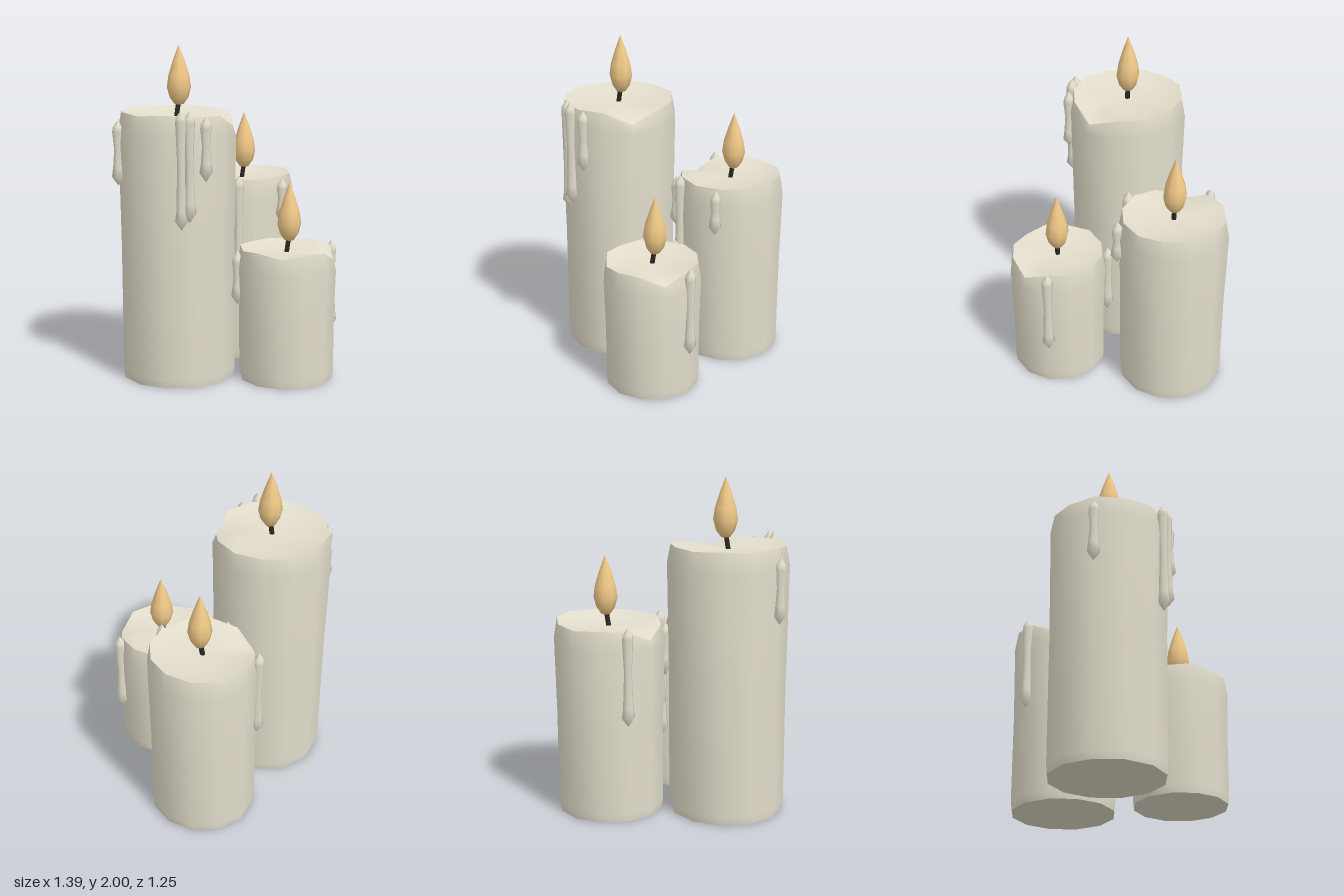
import * as THREE from 'three';
import { mergeVertices } from 'three/addons/utils/BufferGeometryUtils.js';

const SIDES = 12;
const wax = new THREE.MeshStandardMaterial({ color: 0xe3decc });
const wickMat = new THREE.MeshStandardMaterial({ color: 0x2a2826 });
const flameMat = new THREE.MeshStandardMaterial({ color: 0xf2ca88 });

const profile = (pts) => pts.map(([r, y]) => new THREE.Vector2(r, y));

function addMesh(parent, name, geometry, material) {
  const mesh = new THREE.Mesh(geometry, material);
  mesh.name = name;
  parent.add(mesh);
  return mesh;
}

// Twelve-sided turned surface; each point is [radius, y, share of the rim offset it follows]
function waxSurface(pts, rim) {
  const geo = new THREE.LatheGeometry(profile(pts), SIDES);
  const pos = geo.attributes.position;
  for (let v = 0; v < pos.count; v++) {
    const column = Math.floor(v / pts.length);
    const k = (3 - column + 2 * SIDES) % SIDES; // k * 30 degrees from +x towards +z
    pos.setY(v, pos.getY(v) + rim[k] * (pts[v % pts.length][2] || 0));
  }
  geo.deleteAttribute('normal');
  geo.deleteAttribute('uv');
  const merged = mergeVertices(geo, 1e-4);
  merged.computeVertexNormals();
  return merged;
}

// Thin run of wax: pointed top, slim neck, swollen end
function drip(x, z, top, bottom) {
  const pts = profile([
    [0, bottom], [0.04, bottom + 0.055], [0.032, bottom + 0.11],
    [0.024, bottom + (top - bottom) * 0.55],
    [0.034, top - 0.07], [0.03, top - 0.04], [0, top],
  ]);
  const geo = new THREE.LatheGeometry(pts, 6);
  geo.translate(x, 0, z);
  return geo;
}

function candle({ name, x, z, r, h, rim, drips }) {
  const group = new THREE.Group();
  group.name = name;
  const body = new THREE.Group();
  body.name = name + 'Body';
  body.position.set(x, 0, z);
  group.add(body);

  // Wall, hollowed top and base
  addMesh(body, 'waxWall', waxSurface([
    [r * 0.945, 0], [r * 0.965, 0.05], [r * 0.97, h * 0.5],
    [r, h - 0.11, 0.3], [r * 0.94, h, 1],
  ], rim), wax);
  addMesh(body, 'meltedTop', waxSurface([
    [r * 0.94, h, 1], [r * 0.6, h - 0.02, 0.15], [0, h - 0.025],
  ], rim), wax);
  addMesh(body, 'base', waxSurface([[0, 0], [r * 0.945, 0]], rim), wax);

  // Wick leaning slightly to +x
  const wickPath = new THREE.LineCurve3(
    new THREE.Vector3(0, h - 0.03, 0), new THREE.Vector3(0.016, h + 0.07, 0.005));
  addMesh(body, 'wick', new THREE.TubeGeometry(wickPath, 1, 0.015, 6), wickMat);

  // Teardrop flame
  const flame = addMesh(body, 'flame', new THREE.LatheGeometry(profile([
    [0, 0], [0.028, 0.005], [0.056, 0.045], [0.072, 0.105],
    [0.062, 0.175], [0.034, 0.265], [0, 0.355],
  ]), 8), flameMat);
  flame.position.set(0.018, h + 0.04, 0.005);

  drips.forEach((d) => addMesh(group, 'waxDrip', drip(...d), wax));
  return group;
}

export function createModel() {
  const model = new THREE.Group();
  model.name = 'candles';
  model.add(
    candle({
      name: 'tallCandle', x: -0.337, z: -0.229, r: 0.359, h: 1.605,
      rim: [0, -0.01, -0.075, 0, -0.005, 0.01, 0, 0.01, 0, 0.015, 0.005, 0.01],
      drips: [
        [-0.65, -0.41, 1.57, 1.18], [-0.587, 0.03, 1.65, 0.955],
        [-0.555, 0.065, 1.645, 1.0], [-0.463, 0.11, 1.61, 1.23],
      ],
    }),
    candle({
      name: 'mediumCandle', x: 0.36, z: -0.298, r: 0.332, h: 1.145,
      rim: [0.015, 0.015, 0.005, 0.005, 0, 0.005, -0.01, -0.07, 0, 0.01, 0, 0.01],
      drips: [
        [0.2, -0.585, 1.18, 0.59], [0.085, -0.1, 1.18, 0.55],
        [0.037, -0.21, 1.13, 0.8], [0.338, 0.045, 1.15, 0.865],
      ],
    }),
    candle({
      name: 'shortCandle', x: 0.02, z: 0.327, r: 0.298, h: 0.795,
      rim: [0.005, 0, -0.06, 0, 0, -0.015, 0.012, 0, 0.01, 0, 0.005, 0],
      drips: [
        [0.285, 0.465, 0.82, 0.265], [0.09, 0.03, 0.8, 0.34],
        [-0.18, 0.11, 0.78, 0.45],
      ],
    }),
  );
  return model;
}
